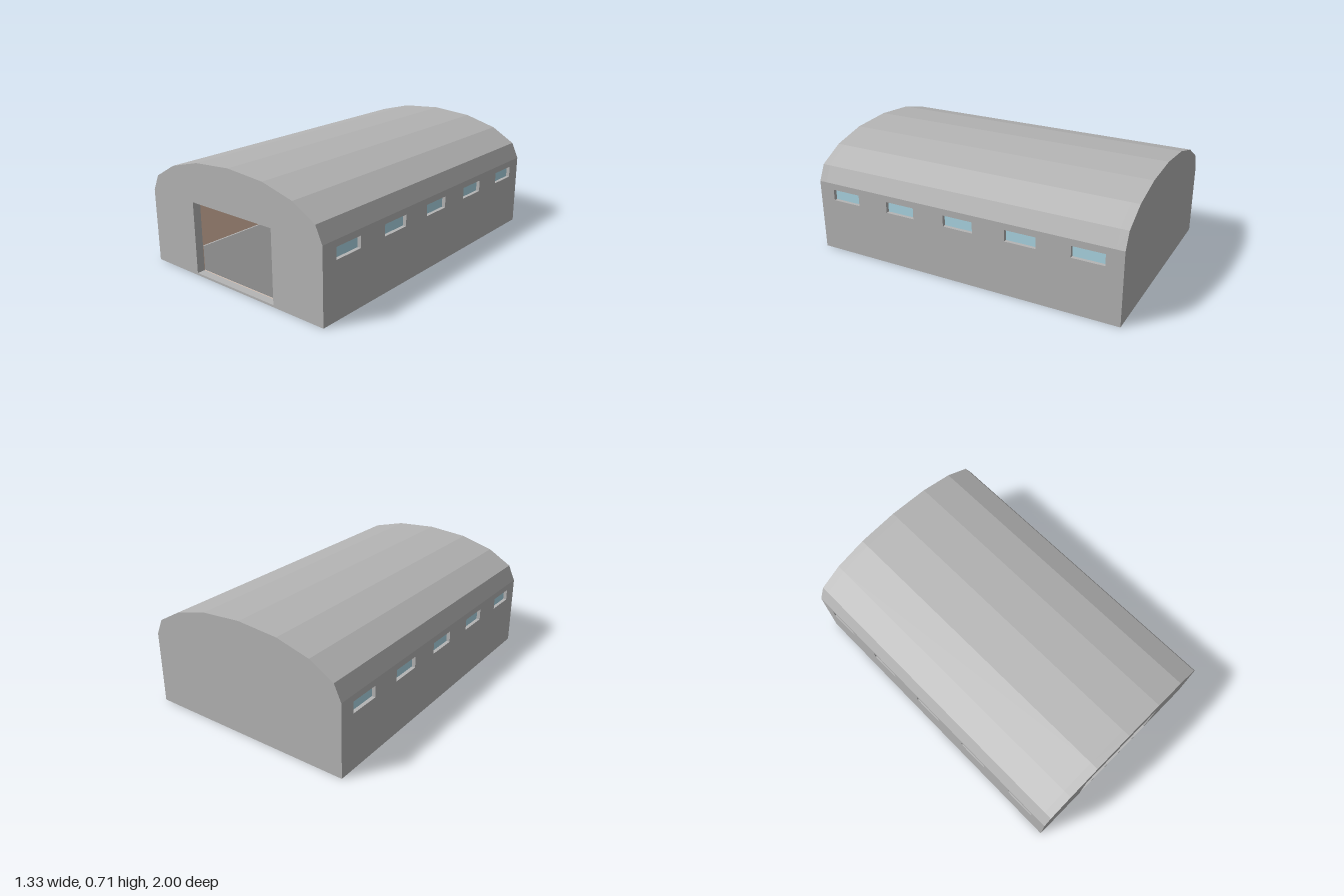
import * as THREE from 'three';

const W = 0.667, H = 0.45, L = 1, T = 0.05; // half width, eaves height, half length, wall thickness
const ARCH = [[W, H], [0.622, 0.547], [0.47, 0.634], [0.26, 0.69], [0, 0.71],
  [-0.26, 0.69], [-0.47, 0.634], [-0.622, 0.547], [-W, H]];

const material = (name, color) => {
  const m = new THREE.MeshStandardMaterial({ color });
  m.name = name;
  return m;
};

// Arch outline moved inwards by t
const arch = (t) => ARCH.map(([x, y]) =>
  new THREE.Vector2(x * (W - t) / W, y === H ? H : y - t));

const rectangle = (Type, x0, y0, x1, y1) => new Type([
  new THREE.Vector2(x0, y0), new THREE.Vector2(x1, y0),
  new THREE.Vector2(x1, y1), new THREE.Vector2(x0, y1)]);

// Gable outline moved inwards by t, optionally with the door opening
function gable(t, door) {
  const shape = new THREE.Shape([new THREE.Vector2(-W + t, 0),
    new THREE.Vector2(W - t, 0), ...arch(t)]);
  if (door) shape.holes.push(rectangle(THREE.Path, -0.312, 0.013, 0.312, 0.45));
  return shape;
}

// Roof band between two inward offsets
const roofBand = (a, b) => new THREE.Shape([...arch(a), ...arch(b).reverse()]);

const WINDOWS = [-0.8, -0.4, 0, 0.4, 0.8];

// Long wall with its row of window openings
function longWall(halfLength) {
  const shape = rectangle(THREE.Shape, -halfLength, 0, halfLength, H);
  for (const z of WINDOWS)
    shape.holes.push(rectangle(THREE.Path, z - 0.097, 0.34, z + 0.097, 0.41));
  return shape;
}

export function createModel() {
  const model = new THREE.Group();
  model.name = 'hangar';
  const grey = material('wall grey', 0xb4b4b4);
  const tan = material('lining tan', 0xe2c0a9);
  const glass = material('window glass', 0xadd8e6);
  const concrete = material('floor grey', 0x848484);

  const add = (name, geometry, mat, parent = model) => {
    const mesh = new THREE.Mesh(geometry, mat);
    mesh.name = name;
    parent.add(mesh);
    return mesh;
  };
  const extrude = (shape, depth, z) =>
    new THREE.ExtrudeGeometry(shape, { depth, bevelEnabled: false }).translate(0, 0, z);

  // End walls and their inner lining
  const inner = L - T, lining = 0.004;
  add('frontWall', extrude(gable(0, true), T, inner), grey);
  add('backWall', extrude(gable(0, false), T, -L), grey);
  add('frontLining', extrude(gable(T, true), lining, inner - lining), tan);
  add('backLining', extrude(gable(T, false), lining, -inner), tan);

  // Faceted roof and ceiling
  add('roof', extrude(roofBand(0, T), 2 * inner, -inner), grey);
  add('ceilingLining', extrude(roofBand(T, T + lining), 2 * inner, -inner), tan);

  // Long walls with recessed panes
  for (const side of [1, -1]) {
    const wall = new THREE.Group();
    wall.name = side > 0 ? 'leftSide' : 'rightSide';
    wall.rotation.y = side > 0 ? 0 : Math.PI;
    model.add(wall);
    const place = (shape, depth, x) =>
      extrude(shape, depth, 0).rotateY(-Math.PI / 2).translate(x, 0, 0);
    add('sideWall', place(longWall(inner), T, W), grey, wall);
    add('sideLining', place(longWall(inner), lining, W - T), tan, wall);
    for (const z of WINDOWS)
      add('windowPane', new THREE.BoxGeometry(0.006, 0.07, 0.194)
        .translate(W - 0.025, 0.375, z), glass, wall);
  }

  // Base slab and inset floor
  add('baseSlab', new THREE.BoxGeometry(2 * (W - T), 0.012, 2 * inner)
    .translate(0, 0.006, 0), grey);
  add('floor', new THREE.BoxGeometry(2 * (W - T) - 0.04, 0.004, 2 * inner - 0.02)
    .translate(0, 0.0125, 0), concrete);

  return model;
}
